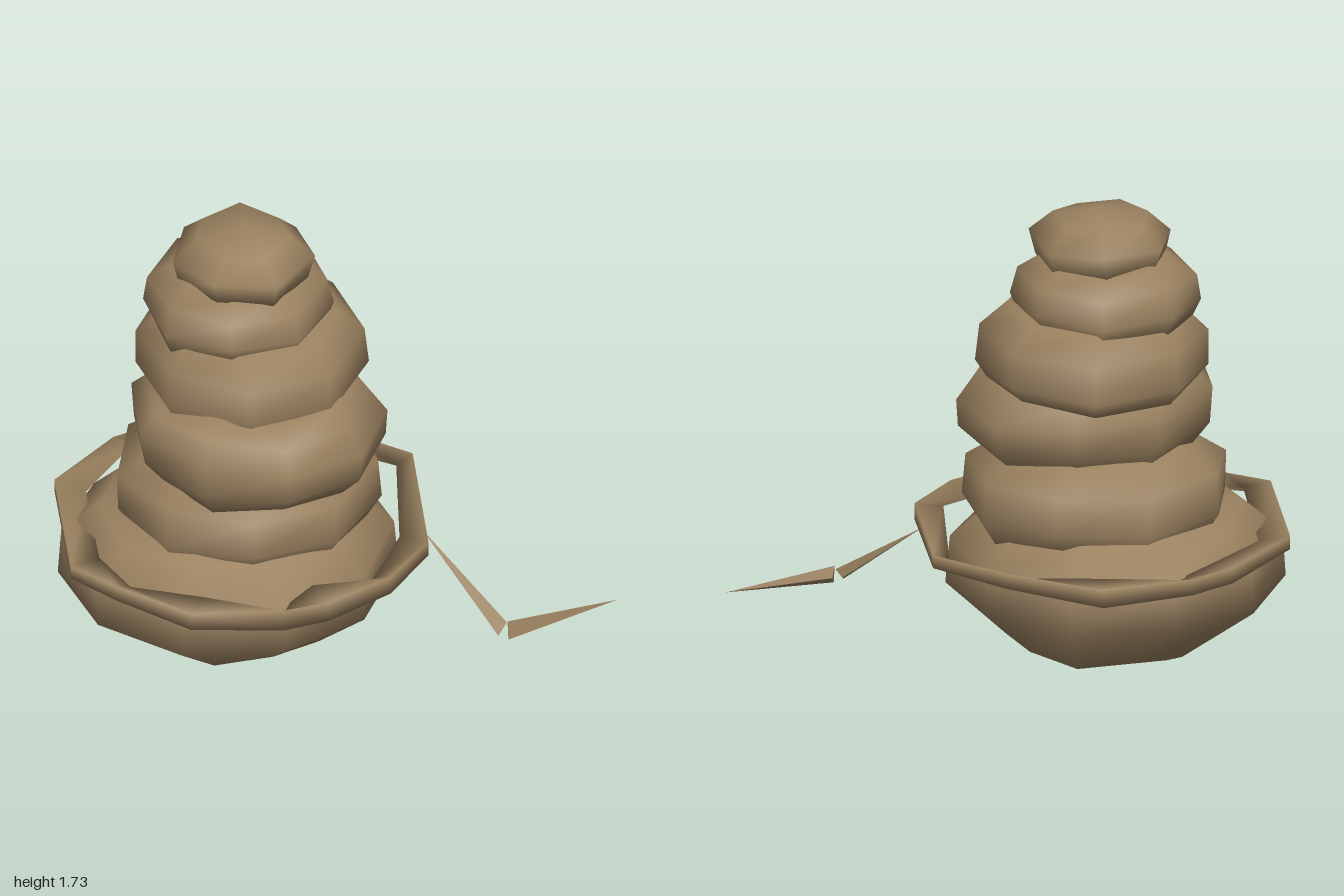
import * as THREE from 'three';
import { mergeVertices } from 'three/addons/utils/BufferGeometryUtils.js';

// Skins a list of closed loops of points; wrap joins the last loop to the first
function loft(loops, wrap = false) {
  const n = loops[0].length, index = [];
  const rows = wrap ? loops.length : loops.length - 1;
  for (let i = 0; i < rows; i++) {
    const k = (i + 1) % loops.length;
    for (let j = 0; j < n; j++) {
      const m = (j + 1) % n;
      const a = i * n + j, b = i * n + m, c = k * n + j, d = k * n + m;
      index.push(a, c, b, b, c, d);
    }
  }
  let geo = new THREE.BufferGeometry();
  geo.setAttribute('position', new THREE.Float32BufferAttribute(loops.flat(2), 3));
  geo.setIndex(index);
  geo = mergeVertices(geo);
  geo.computeVertexNormals();
  return geo;
}

// Lumpy low-poly disc: profile rows are [height, fraction of radius, lean along x, shift x, shift z]
function lump({ c, r, sides, phase, profile }) {
  return loft(profile.map(([y, f, lean = 0, sx = 0, sz = 0], row) => {
    const loop = [];
    for (let j = 0; j < sides; j++) {
      const a = phase + (j / sides) * Math.PI * 2;
      const wobble = 1.01 + 0.02 * Math.sin(j * 2.4 + row + phase);
      const x = Math.cos(a) * r[0] * f * wobble, z = Math.sin(a) * r[1] * f * wobble;
      const dy = f ? 0.012 * Math.sin(j * 3.7 + row * 0.6) : 0;
      loop.push([c[0] + sx + x, y + dy + lean * x, c[1] + sz + z]);
    }
    return loop;
  }));
}

const LAYERS = [
  { name: 'baseLump', c: [-0.355, 0], r: [0.612, 0.59], sides: 10, phase: 0.2,
    profile: [[0, 0, 0, -0.14, -0.2], [0.045, 0.56, 0.03, 0.05, -0.01], [0.25, 0.99], [0.43, 0.98],
      [0.54, 0.77], [0.6, 0.35], [0.615, 0, 0, -0.1, 0]] },
  { name: 'secondLump', c: [-0.285, 0], r: [0.485, 0.455], sides: 9, phase: 0.35,
    profile: [[0.4, 0], [0.49, 0.88], [0.58, 1], [0.73, 0.99], [0.82, 0.7], [0.85, 0]] },
  { name: 'thirdLump', c: [-0.265, 0.085], r: [0.47, 0.455], sides: 9, phase: 0.15,
    profile: [[0.7, 0], [0.77, 0.8], [0.86, 0.97, -0.04], [0.98, 1, -0.08], [1.06, 0.87, -0.04], [1.12, 0.72], [1.16, 0]] },
  { name: 'fourthLump', c: [-0.265, -0.03], r: [0.42, 0.44], sides: 8, phase: 0.25,
    profile: [[1, 0], [1.06, 0.9], [1.12, 1], [1.26, 0.98], [1.35, 0.76], [1.38, 0]] },
  { name: 'fifthLump', c: [-0.31, -0.05], r: [0.345, 0.345], sides: 8, phase: 0.3,
    profile: [[1.25, 0], [1.31, 0.92], [1.38, 1], [1.48, 0.94], [1.54, 0.68], [1.57, 0]] },
  { name: 'topLump', c: [-0.295, -0.03], r: [0.262, 0.272], sides: 7, phase: 0.42,
    profile: [[1.45, 0], [1.52, 0.9], [1.61, 1], [1.685, 0.68], [1.725, 0, 0, 0.02, 0]] },
];

// Corners of the loose band, as [x, z, bottom, top, width]
const BAND = [
  [0.39, -0.22, 0.45, 0.5, 0.07], [0.31, 0.35, 0.43, 0.49, 0.11],
  [0.12, 0.55, 0.42, 0.49, 0.09], [-0.14, 0.66, 0.41, 0.49, 0.13],
  [-0.31, 0.675, 0.405, 0.49, 0.1], [-0.64, 0.6, 0.41, 0.48, 0.12],
  [-0.87, 0.37, 0.43, 0.49, 0.08], [-1, 0.22, 0.45, 0.5, 0.12],
  [-0.92, -0.36, 0.45, 0.5, 0.12], [-0.64, -0.6, 0.43, 0.49, 0.09],
  [-0.47, -0.66, 0.42, 0.48, 0.12], [-0.13, -0.68, 0.41, 0.48, 0.12],
  [0.17, -0.45, 0.43, 0.49, 0.07],
];

export function createModel() {
  const model = new THREE.Group();
  const brown = new THREE.MeshStandardMaterial({ color: 0x9b8260 });
  brown.name = 'earthBrown';
  const add = (name, geo) => {
    const mesh = new THREE.Mesh(geo, brown);
    mesh.name = name;
    model.add(mesh);
  };

  // Stack of shrinking lumps
  for (const layer of LAYERS) add(layer.name, lump(layer));

  // Twisted band around the base, triangular in section
  const loops = BAND.map(([x, z, lo, hi, t], i) => {
    const r = Math.hypot(x + 0.3, z), s = (r - t) / r;
    const ix = -0.3 + (x + 0.3) * s, iz = z * s;
    return [[x, hi, z], [x, lo, z], [ix, i % 2 ? hi : lo + 0.02, iz]];
  });
  add('band', loft(loops, true));

  // Two thin spikes that form the band's loose end
  const spike = (name, tip, base) => {
    const [t, a, b, c] = [tip, ...base].map((p) => new THREE.Vector3(...p));
    const normal = b.clone().sub(a).cross(c.clone().sub(a));
    const faces = normal.dot(t.clone().sub(a)) > 0
      ? [t, a, b, t, b, c, t, c, a, a, c, b]
      : [t, b, a, t, c, b, t, a, c, a, b, c];
    const geo = new THREE.BufferGeometry().setFromPoints(faces);
    geo.computeVertexNormals();
    add(name, geo);
  };
  spike('looseEndUpper', [0.32, 0.45, 0.2], [[0.53, 0.155, 0.525], [0.565, 0.2, 0.51], [0.55, 0.18, 0.47]]);
  spike('looseEndLower', [1, 0.18, 0.43], [[0.565, 0.21, 0.52], [0.565, 0.14, 0.535], [0.58, 0.17, 0.5]]);
  return model;
}
